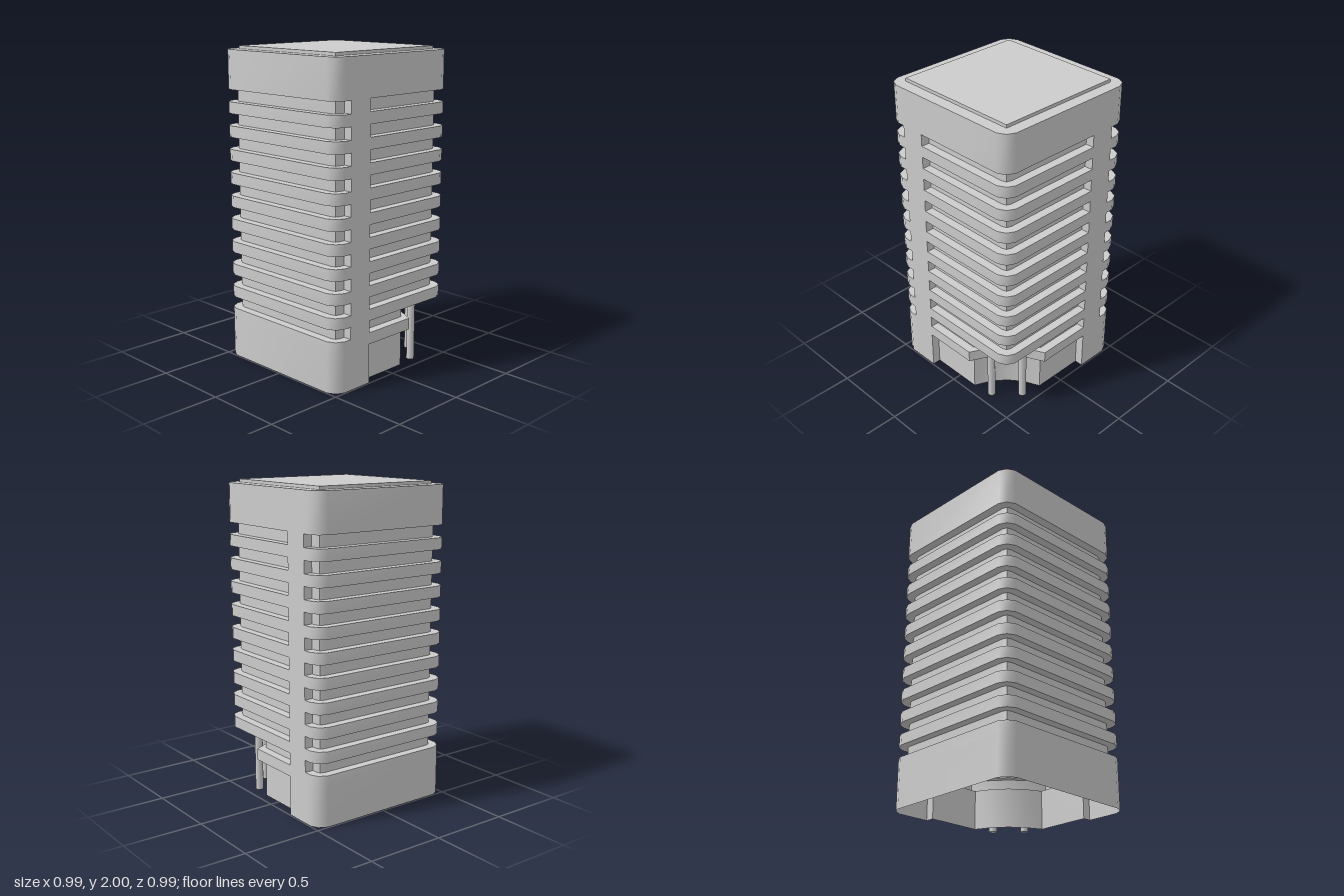
import * as THREE from 'three';
import { toCreasedNormals } from 'three/addons/utils/BufferGeometryUtils.js';

const H = 0.495, R = 0.44; // half widths of the facade and of the recessed window bands

// Points of one bevelled corner; sx, sz pick the corner, h the half width
function corner(sx, sz, h) {
  const [a, b] = h === H ? [0.42, 0.47] : [0.40, 0.43];
  const pts = [[sx * h, sz * a], [sx * b, sz * b], [sx * a, sz * h]];
  return sx * sz > 0 ? pts : pts.reverse();
}

// Concave entrance front across the +x -z corner
function hollow(h, e) {
  const pts = [];
  for (let i = 0; i <= 4; i++) {
    const t = i / 4, k = 4 * t * (1 - t) * 0.038;
    pts.push([e + (h - e) * t - k, -h + (h - e) * t + k]);
  }
  return pts;
}

// Run round the front and -x sides, between the two piers
const longRun = (h) => [
  [H, 0.37], [h, 0.37],
  ...corner(1, 1, h), ...corner(-1, 1, h), ...corner(-1, -1, h),
  [-0.37, -h], [-0.37, -H],
];

// Run round the entrance corner
const entranceRun = (h, middle) => [[-0.21, -H], [-0.21, -h], ...middle, [h, 0.21], [H, 0.21]];
const fullCorner = (h) => [[0.15, -h], ...corner(1, -1, h), [h, -0.15]];

// Skin of stacked outlines: vertical walls joined by flat ledges
function skin(levels) {
  const pos = [];
  const tri = (a, b, c) => {
    const [A, B, C] = [a, b, c].map((p) => new THREE.Vector3(...p));
    if (B.clone().sub(A).cross(C.clone().sub(A)).length() > 1e-7) pos.push(...a, ...b, ...c);
  };
  const strip = (lo, y0, hi, y1) => {
    for (let i = 0; i < lo.length; i++) {
      const j = (i + 1) % lo.length;
      const a = [lo[i][0], y0, lo[i][1]], b = [lo[j][0], y0, lo[j][1]];
      const c = [hi[j][0], y1, hi[j][1]], d = [hi[i][0], y1, hi[i][1]];
      tri(a, d, b);
      tri(b, d, c);
    }
  };
  levels.forEach(([y0, y1, line], i) => {
    if (i) strip(levels[i - 1][2], y0, line, y0);
    strip(line, y0, line, y1);
  });
  const g = new THREE.BufferGeometry();
  g.setAttribute('position', new THREE.Float32BufferAttribute(pos, 3));
  return toCreasedNormals(g, 0.75);
}

export function createModel() {
  const group = new THREE.Group();
  const mat = new THREE.MeshStandardMaterial({ color: 0xcccccc, side: THREE.DoubleSide });
  const add = (name, geo, x = 0, y = 0, z = 0) => {
    const m = new THREE.Mesh(geo, mat);
    m.name = name;
    m.position.set(x, y, z);
    group.add(m);
  };

  const outer = [...longRun(H), ...entranceRun(H, fullCorner(H))];
  const recess = [...longRun(R), ...entranceRun(R, fullCorner(R))];
  const lobby = entranceRun(R, hollow(R, 0.14));
  const canopy = entranceRun(H, hollow(H, 0.155));

  // Ground floor with its cut-away corner, then ten window bands
  const levels = [
    [0, 0.25, [...longRun(H), ...lobby]],
    [0.25, 0.323, [...longRun(H), ...canopy]],
  ];
  const floors = 10, pitch = 0.1485, band = 0.076;
  for (let i = 0; i < floors; i++) {
    const y = 0.323 + i * pitch;
    levels.push([y, y + band, i ? recess : [...longRun(R), ...lobby]]);
    levels.push([y + band, i < floors - 1 ? y + pitch : 1.98, outer]);
  }
  add('towerWalls', skin(levels));

  // Roof sheet and raised roof panel
  const roof = new THREE.ShapeGeometry(new THREE.Shape(outer.map(([x, z]) => new THREE.Vector2(x, -z))));
  add('roof', roof.rotateX(-Math.PI / 2), 0, 1.98);
  add('roofPanel', new THREE.BoxGeometry(0.84, 0.02, 0.84), 0, 1.99);

  // Pair of columns under the overhanging corner
  for (const [x, z] of [[0.41, -0.27], [0.27, -0.41]]) {
    add('entranceColumn', new THREE.CylinderGeometry(0.025, 0.025, 0.4, 12), x, 0.2, z);
  }
  return group;
}
